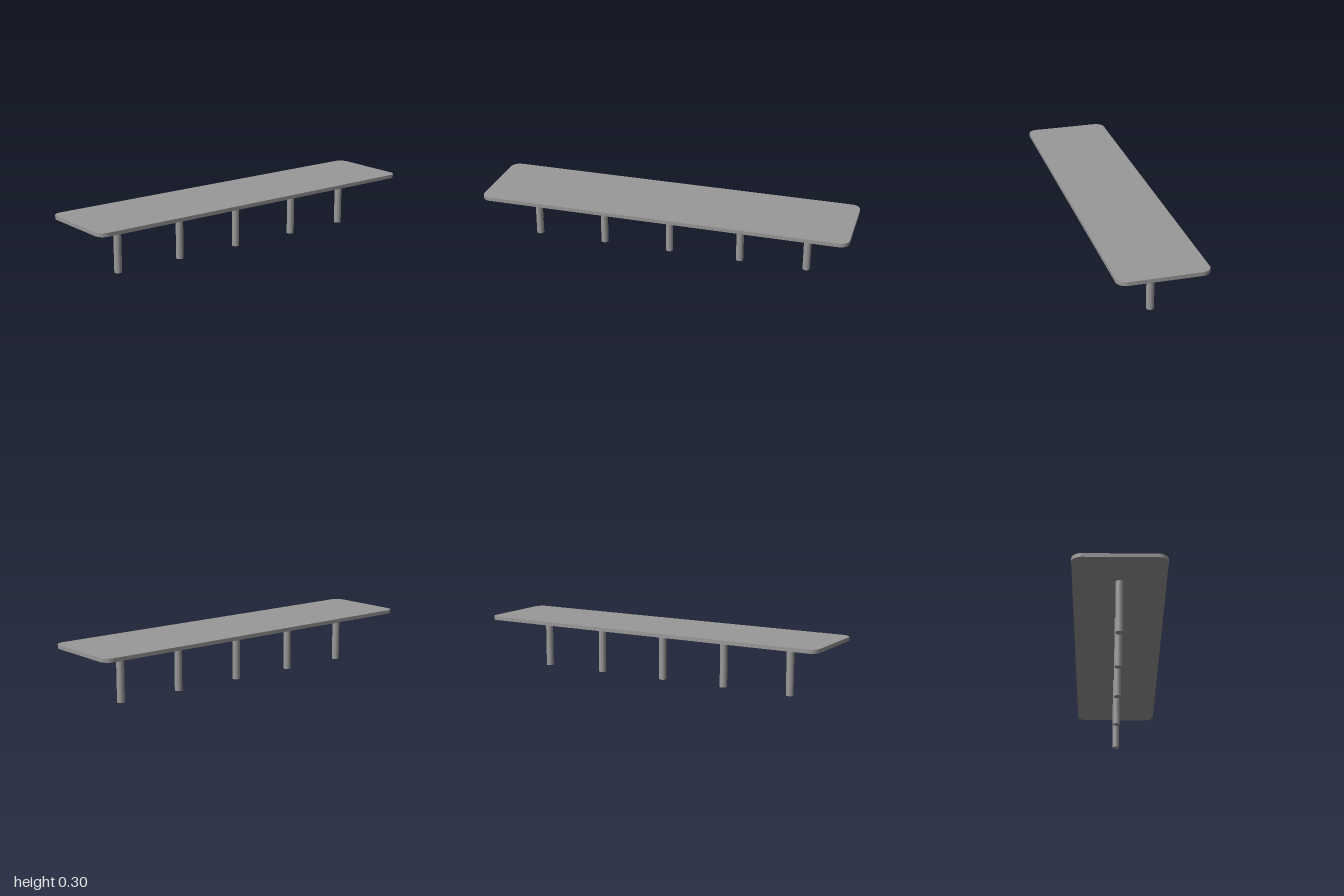
import * as THREE from 'three';

export function createModel() {
  const model = new THREE.Group();
  model.name = 'longTable';
  const grey = new THREE.MeshStandardMaterial({ color: 0x999999 });
  grey.name = 'grey';

  // Table top: rounded rectangle, extruded upwards
  const w = 0.232, l = 1, r = 0.05, underside = 0.278, thickness = 0.02;
  const outline = new THREE.Shape();
  outline.absarc(w - r, l - r, r, 0, Math.PI / 2);
  outline.absarc(-w + r, l - r, r, Math.PI / 2, Math.PI);
  outline.absarc(-w + r, -l + r, r, Math.PI, Math.PI * 1.5);
  outline.absarc(w - r, -l + r, r, Math.PI * 1.5, Math.PI * 2);
  const topGeometry = new THREE.ExtrudeGeometry(outline, {
    depth: thickness, bevelEnabled: false, curveSegments: 10,
  });
  topGeometry.rotateX(-Math.PI / 2);
  const tableTop = new THREE.Mesh(topGeometry, grey);
  tableTop.name = 'tableTop';
  tableTop.position.y = underside;
  model.add(tableTop);

  // Row of round legs along the centre line
  const legGeometry = new THREE.CylinderGeometry(0.02, 0.02, underside, 24);
  [0.76, 0.375, 0, -0.395, -0.76].forEach((z, i) => {
    const leg = new THREE.Mesh(legGeometry, grey);
    leg.name = `leg${i + 1}`;
    leg.position.set(0, underside / 2, z);
    model.add(leg);
  });

  return model;
}
